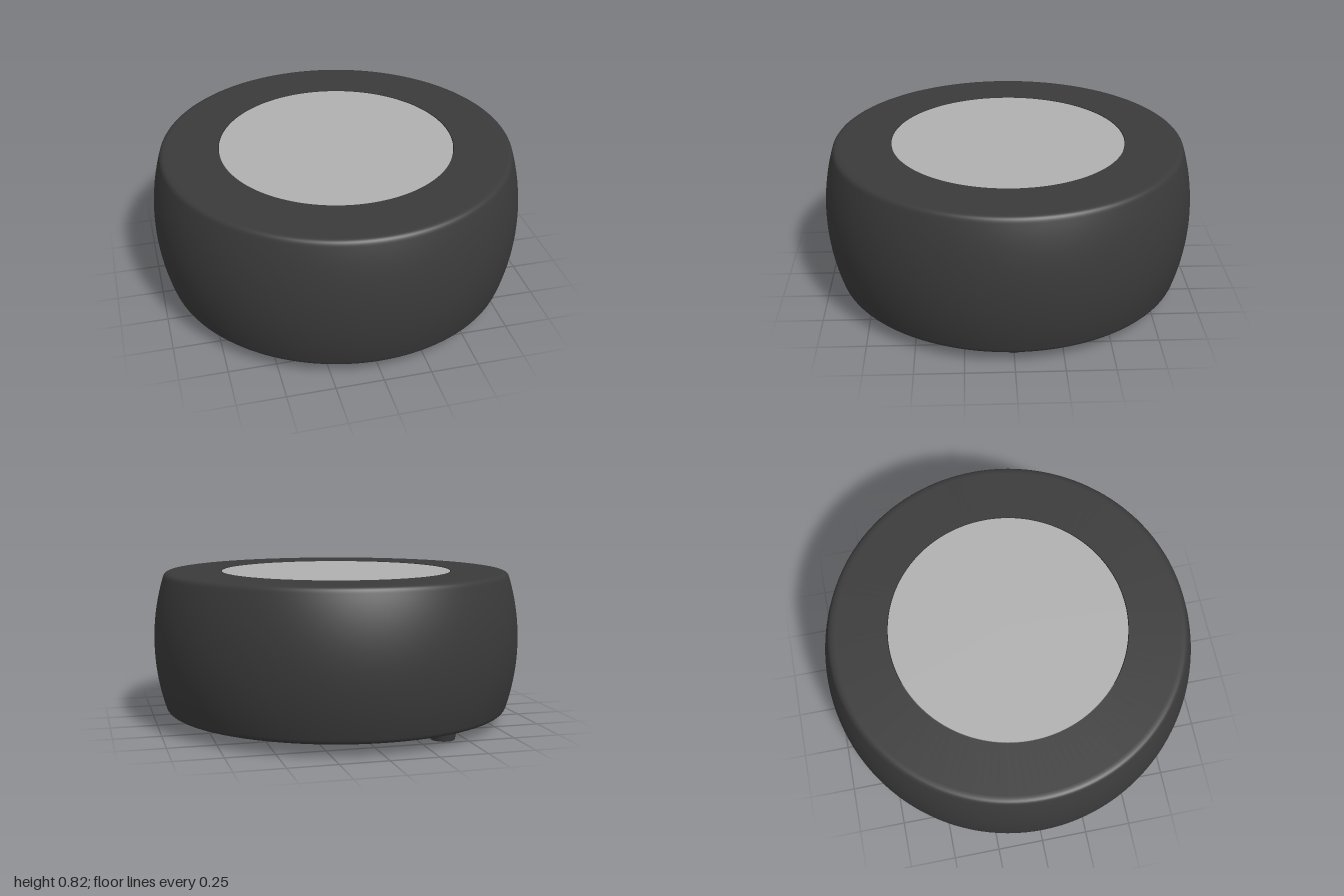
import * as THREE from 'three';

export function createModel() {
  const model = new THREE.Group();
  model.name = 'ringBase';
  const charcoal = new THREE.MeshStandardMaterial({ color: 0x3a3a3a });
  charcoal.name = 'charcoal';
  const frosted = new THREE.MeshStandardMaterial({ color: 0xb0b0b0 });
  frosted.name = 'frostedGrey';

  const TOP = 0.822, BOTTOM = 0.065, MID = (TOP + BOTTOM) / 2;
  const HOLE = 0.632, FLAT = 0.905, SEGMENTS = 128;
  const v = (x, y) => new THREE.Vector2(x, y);

  const add = (parent, name, geometry, material) => {
    const mesh = new THREE.Mesh(geometry, material);
    mesh.name = name;
    parent.add(mesh);
    return mesh;
  };

  // Hollow body: each smooth surface is its own lathe so the edges stay crisp
  const body = new THREE.Group();
  body.name = 'body';
  model.add(body);

  // Bulging wall with a rounded shoulder at each end
  const upper = [];
  const half = 0.345, bulge = 0.052;
  const radius = (half * half + bulge * bulge) / (2 * bulge);
  for (let i = 0; i <= 16; i++) {
    const h = (half * i) / 16;
    upper.push(v(1 - radius + Math.sqrt(radius * radius - h * h), MID + h));
  }
  const shoulder = new THREE.CubicBezierCurve(
    upper[16], v(0.942, TOP - 0.012), v(0.935, TOP), v(FLAT, TOP));
  upper.push(...shoulder.getPoints(10).slice(1));
  const lower = upper.slice(1).reverse().map((p) => v(p.x, 2 * MID - p.y));

  const sections = {
    outerWall: [...lower, ...upper],
    topFace: [v(FLAT, TOP), v(HOLE, TOP)],
    innerWall: [v(HOLE, TOP), v(HOLE, BOTTOM)],
    bottomFace: [v(HOLE, BOTTOM), v(FLAT, BOTTOM)],
  };
  for (const [name, points] of Object.entries(sections)) {
    add(body, name, new THREE.LatheGeometry(points, SEGMENTS), charcoal);
  }

  // Thin round panel closing the top of the hole
  const panel = add(model, 'topPanel',
    new THREE.CylinderGeometry(0.628, 0.628, 0.008, SEGMENTS), frosted);
  panel.position.y = TOP - 0.006;

  // Three tapered feet
  for (let i = 0; i < 3; i++) {
    const a = (i * Math.PI * 2) / 3;
    const foot = add(model, 'foot' + (i + 1),
      new THREE.CylinderGeometry(0.076, 0.062, BOTTOM, 32), charcoal);
    foot.position.set(0.775 * Math.cos(a), BOTTOM / 2, 0.775 * Math.sin(a));
  }
  return model;
}
